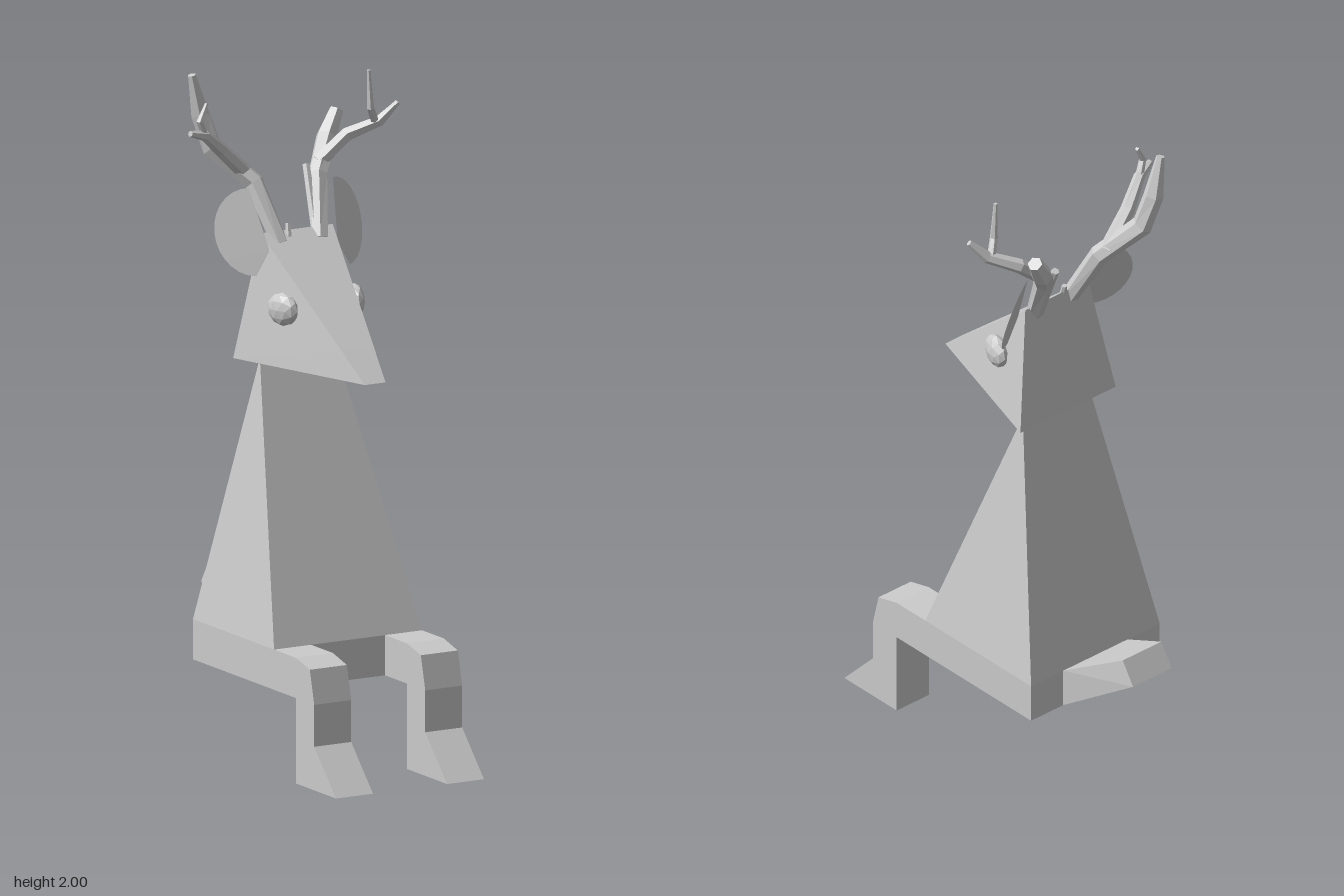
import * as THREE from 'three';
import { ConvexGeometry } from 'three/addons/geometries/ConvexGeometry.js';

const grey = new THREE.MeshStandardMaterial({ color: 0xcccccc, flatShading: true, side: THREE.DoubleSide });

export function createModel() {
  const model = new THREE.Group();

  const add = (name, geometry, parent = model) => {
    const mesh = new THREE.Mesh(geometry, grey);
    mesh.name = name;
    parent.add(mesh);
    return mesh;
  };

  // Mirrored solid: each [x, y, z] corner is used on both sides
  const solid = (name, corners) => add(name, new ConvexGeometry(
    corners.flatMap(([x, y, z]) => [new THREE.Vector3(x, y, z), new THREE.Vector3(-x, y, z)])));

  // Tapered faceted branch through [x, y, z, radius] points
  const branch = (name, points, parent, sides = 6) => {
    const centres = points.map(p => new THREE.Vector3(p[0], p[1], p[2]));
    const positions = [], index = [];
    const last = points.length - 1;
    points.forEach((p, i) => {
      const dir = centres[Math.min(i + 1, last)].clone().sub(centres[Math.max(i - 1, 0)]).normalize();
      const u = new THREE.Vector3(0, 0, 1).cross(dir).normalize();
      const v = dir.clone().cross(u);
      for (let s = 0; s < sides; s++) {
        const a = s / sides * Math.PI * 2;
        const q = centres[i].clone().addScaledVector(u, Math.cos(a) * p[3]).addScaledVector(v, Math.sin(a) * p[3]);
        positions.push(q.x, q.y, q.z);
        if (i < last) {
          const n = (s + 1) % sides, b = i * sides;
          index.push(b + s, b + n, b + sides + n, b + s, b + sides + n, b + sides + s);
        }
      }
    });
    for (let s = 1; s < sides - 1; s++) {
      const e = last * sides;
      index.push(e, e + s, e + s + 1, 0, s + 1, s);
    }
    const g = new THREE.BufferGeometry();
    g.setAttribute('position', new THREE.Float32BufferAttribute(positions, 3));
    g.setIndex(index);
    g.computeVertexNormals();
    return add(name, g, parent);
  };

  // Seat slab, tapering torso and upturned tail
  solid('hips', [[0.25, 0.255, -0.285], [0.25, 0.375, -0.285], [0.25, 0.255, 0.18], [0.25, 0.375, 0.18]]);
  solid('torso', [[0.25, 0.375, -0.285], [0.25, 0.375, 0.18], [0.127, 1.175, -0.11]]);
  solid('tail', [[0.125, 0.255, -0.285], [0.125, 0.375, -0.285], [0.075, 0.49, -0.49], [0.075, 0.42, -0.535]]);

  // Bent legs with wedge feet, drawn in profile and extruded across
  const profile = new THREE.Shape([
    [0.18, 0.255], [0.305, 0.255], [0.305, 0], [0.535, 0], [0.41, 0.13],
    [0.41, 0.255], [0.385, 0.355], [0.305, 0.375], [0.18, 0.375],
  ].map(([z, y]) => new THREE.Vector2(-z, y)));
  for (const [name, x] of [['leftLeg', 0.125], ['rightLeg', -0.25]]) {
    const leg = add(name, new THREE.ExtrudeGeometry(profile, { depth: 0.125, bevelEnabled: false }));
    leg.rotation.y = Math.PI / 2;
    leg.position.x = x;
  }

  // Wedge head ending in a small blunt nose
  solid('head', [[0.185, 1.17, -0.165], [0.122, 1.545, -0.115], [0.055, 1.257, 0.232], [0.035, 1.17, 0.335]]);

  for (const side of [1, -1]) {
    const label = side > 0 ? 'left' : 'right';

    // Faceted oval eye
    const eye = add(label + 'Eye', new THREE.IcosahedronGeometry(1, 1));
    eye.scale.set(0.028, 0.05, 0.057);
    eye.position.set(side * 0.121, 1.343, 0.012);
    eye.rotation.y = -side * 0.28;

    // Half-round ear swept back, with a narrow inner fold against the head
    const ear = [new THREE.Vector3(side * 0.115, 1.5, -0.075)];
    for (let i = 0; i <= 14; i++) {
      const a = -Math.PI / 2 + Math.PI * i / 14, up = Math.sin(a), out = Math.cos(a);
      ear.push(new THREE.Vector3(side * (0.15 - 0.008 * up + 0.097 * out), 1.552 + 0.124 * up, -0.113 - 0.035 * up - 0.055 * out));
    }
    add(label + 'Ear', new ConvexGeometry(ear));
  }

  // Antlers differ: the right one stands tall, the left one spreads
  const right = new THREE.Group();
  right.name = 'rightAntler';
  branch('beam', [[-0.065, 1.51, -0.1, 0.026], [-0.1, 1.68, -0.19, 0.03], [-0.195, 1.78, -0.27, 0.032],
    [-0.225, 1.88, -0.287, 0.03], [-0.255, 2, -0.283, 0.013]], right);
  branch('frontBranch', [[-0.11, 1.7, -0.21, 0.024], [-0.21, 1.79, -0.19, 0.022],
    [-0.29, 1.85, -0.15, 0.017], [-0.35, 1.865, -0.13, 0.009]], right);
  branch('fork', [[-0.29, 1.85, -0.15, 0.013], [-0.312, 1.895, -0.14, 0.011], [-0.286, 1.945, -0.145, 0.006]], right);
  branch('browTine', [[-0.035, 1.51, -0.1, 0.012], [-0.03, 1.565, -0.115, 0.008]], right);

  const left = new THREE.Group();
  left.name = 'leftAntler';
  branch('beam', [[0.07, 1.51, -0.1, 0.026], [0.115, 1.68, -0.19, 0.03], [0.19, 1.77, -0.265, 0.032],
    [0.235, 1.84, -0.285, 0.022]], left);
  branch('frontBranch', [[0.13, 1.71, -0.21, 0.024], [0.22, 1.785, -0.2, 0.022],
    [0.3, 1.825, -0.15, 0.018], [0.347, 1.882, -0.122, 0.009]], left);
  branch('fork', [[0.29, 1.82, -0.155, 0.013], [0.262, 1.87, -0.135, 0.012], [0.255, 1.985, -0.135, 0.006]], left);
  branch('browTine', [[0.065, 1.54, -0.12, 0.014], [0.085, 1.71, -0.205, 0.012]], left);
  model.add(right, left);

  return model;
}
